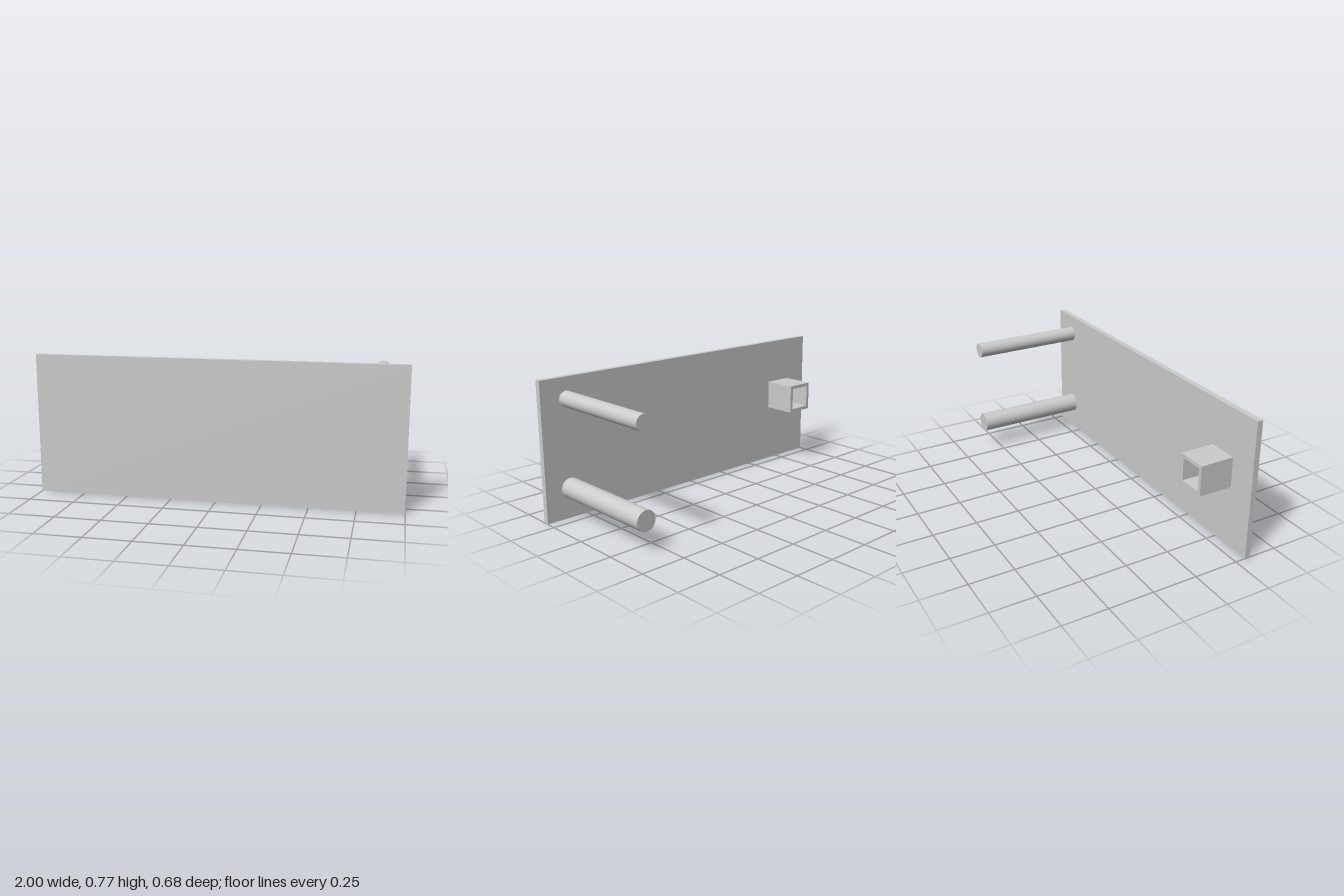
import * as THREE from 'three';

const grey = new THREE.MeshStandardMaterial({ color: 0xcccccc });
const PLATE_BACK = 0.31;

function add(group, name, geometry, x, y, z) {
  const mesh = new THREE.Mesh(geometry, grey);
  mesh.name = name;
  mesh.position.set(x, y, z);
  group.add(mesh);
}

// Round post running from the back of the plate to z = -0.34
function addPost(group, name, radius, y) {
  const length = PLATE_BACK + 0.34;
  const geometry = new THREE.CylinderGeometry(radius, radius, length, 48).rotateX(Math.PI / 2);
  add(group, name, geometry, 0.846, y, PLATE_BACK - length / 2);
}

// Square outline centred on the origin
function square(ShapeType, size) {
  const h = size / 2;
  return new ShapeType([[-h, -h], [h, -h], [h, h], [-h, h]].map(([x, y]) => new THREE.Vector2(x, y)));
}

export function createModel() {
  const model = new THREE.Group();
  model.name = 'mountingPlate';

  // Flat front plate
  add(model, 'plate', new THREE.BoxGeometry(2, 0.774, 0.032), 0, 0.387, 0.324);

  // Two posts of different thickness
  addPost(model, 'upperPost', 0.043, 0.657);
  addPost(model, 'lowerPost', 0.056, 0.169);

  // Hollow square socket, open at the back
  const outline = square(THREE.Shape, 0.17);
  outline.holes.push(square(THREE.Path, 0.13));
  const depth = PLATE_BACK - 0.114;
  const socket = new THREE.ExtrudeGeometry(outline, { depth, bevelEnabled: false });
  add(model, 'squareSocket', socket, -0.76, 0.429, 0.114);

  return model;
}
